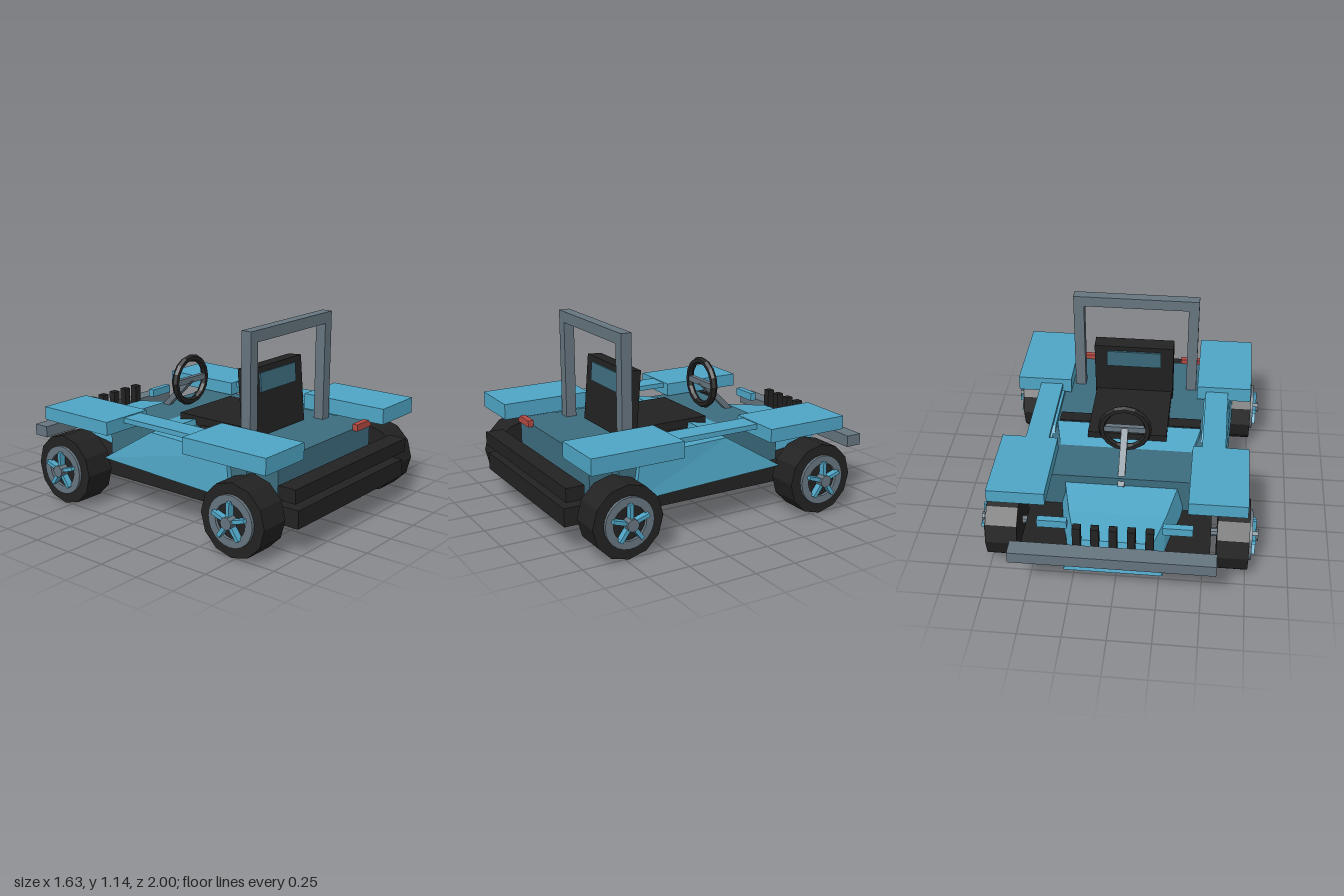
import * as THREE from 'three';

const mat = (name, color) => {
  const m = new THREE.MeshStandardMaterial({ color });
  m.name = name;
  return m;
};

export function createModel() {
  const car = new THREE.Group();
  car.name = 'buggy';
  const blue = mat('light blue', 0x4fa6c6);
  const teal = mat('dark teal', 0x3d6d7f);
  const black = mat('black', 0x222222);
  const grey = mat('steel grey', 0x66757f);
  const red = mat('red', 0xb54a42);

  const add = (name, geo, material, parent = car) => {
    const mesh = new THREE.Mesh(geo, material);
    mesh.name = name;
    parent.add(mesh);
    return mesh;
  };
  const flat = (geo) => {
    const g = geo.index ? geo.toNonIndexed() : geo;
    g.computeVertexNormals();
    return g;
  };
  // Box given by its limits on each axis
  const box = (name, material, [x0, x1], [y0, y1], [z0, z1], parent = car) => {
    const mesh = add(name, new THREE.BoxGeometry(x1 - x0, y1 - y0, z1 - z0), material, parent);
    mesh.position.set((x0 + x1) / 2, (y0 + y1) / 2, (z0 + z1) / 2);
    return mesh;
  };
  // The same box on both sides
  const pair = (name, material, [x0, x1], y, z) => {
    box(name + 'Left', material, [x0, x1], y, z);
    box(name + 'Right', material, [-x1, -x0], y, z);
  };
  // Unit box whose corners are moved by a rule
  const shaped = (depthSegments, rule) => {
    const g = new THREE.BoxGeometry(1, 1, 1, 1, 1, depthSegments);
    const p = g.attributes.position;
    for (let i = 0; i < p.count; i++) p.setXYZ(i, ...rule(p.getX(i), p.getY(i), p.getZ(i)));
    return flat(g);
  };

  // Chassis, tub and bumpers
  box('chassis', black, [-0.54, 0.54], [0.16, 0.265], [-0.82, 1]);
  box('tub', teal, [-0.465, 0.465], [0.262, 0.48], [-0.44, 0.81]);
  box('footwell', black, [-0.44, 0.44], [0.478, 0.486], [0.09, 0.175]);
  box('rearBumper', black, [-0.57, 0.57], [0.31, 0.39], [0.89, 1]);
  box('frontBumper', grey, [-0.58, 0.58], [0.295, 0.365], [-1, -0.9]);

  // Tapered hood: nose, brow and cowl sections {z, y, half widths}
  const sections = [
    { zt: -0.86, zb: -0.915, top: 0.37, bottom: 0.185, wt: 0.22, wb: 0.28 },
    { zt: -0.65, zb: -0.65, top: 0.39, bottom: 0.2, wt: 0.28, wb: 0.33 },
    { zt: 0.04, zb: 0.09, top: 0.515, bottom: 0.27, wt: 0.445, wb: 0.455 },
  ];
  add('hood', shaped(2, (x, y, z) => {
    const s = sections[Math.round((z + 0.5) * 2)];
    return y > 0
      ? [Math.sign(x) * s.wt, s.top, s.zt]
      : [Math.sign(x) * s.wb, s.bottom, s.zb];
  }), blue);

  // Side pods with a raked front end
  for (const side of [1, -1]) {
    add(side > 0 ? 'sidePodLeft' : 'sidePodRight', shaped(1, (x, y, z) => {
      const rear = z > 0, upper = y > 0;
      const outer = (rear ? 0.625 : 0.585) + (upper ? 0 : 0.015);
      return [
        side * (x * side > 0 ? outer : 0.45),
        upper ? 0.508 : rear ? 0.265 : 0.28,
        rear ? (upper ? 0.58 : 0.62) : (upper ? 0 : -0.37),
      ];
    }), blue);
  }
  pair('fenderStay', teal, [0.52, 0.6], [0.27, 0.5], [0.58, 0.7]);
  pair('sideRail', blue, [0.46, 0.6], [0.53, 0.56], [-0.2, 0.375]);

  // Fenders and lamps
  pair('rearFender', blue, [0.405, 0.745], [0.5, 0.595], [0.375, 0.935]);
  pair('frontFender', blue, [0.405, 0.74], [0.485, 0.565], [-0.72, -0.2]);
  pair('tailLight', red, [0.28, 0.43], [0.47, 0.51], [0.805, 0.84]);
  pair('headlight', blue, [0.27, 0.44], [0.4, 0.45], [-0.81, -0.77]);
  for (let i = -2; i <= 2; i++) {
    const x = i * 0.102;
    box('grilleBar', black, [x - 0.023, x + 0.023], [0.32, 0.48], [-0.895, -0.85]);
  }

  // Seat
  box('seatCushion', black, [-0.24, 0.24], [0.46, 0.535], [-0.08, 0.4]);
  const back = new THREE.Group();
  back.name = 'seatBack';
  back.position.set(0, 0.48, 0.44);
  back.rotation.x = -0.085;
  car.add(back);
  box('backrest', black, [-0.247, 0.247], [0, 0.4], [-0.045, 0.045], back);
  box('headrestPanel', teal, [-0.17, 0.17], [0.255, 0.367], [-0.056, 0.056], back);

  // Roll bar
  pair('rollBarPost', grey, [0.328, 0.393], [0.46, 1.08], [0.5, 0.565]);
  box('rollBarTop', grey, [-0.393, 0.393], [1.07, 1.137], [0.5, 0.565]);

  // Steering
  add('steeringWheel', flat(new THREE.TorusGeometry(0.138, 0.022, 6, 16)), black)
    .position.set(0, 0.67, -0.205);
  box('steeringCrossbar', grey, [-0.13, 0.13], [0.652, 0.688], [-0.22, -0.19]);
  const column = add('steeringColumn', new THREE.BoxGeometry(0.04, 0.35, 0.035), grey);
  column.position.set(0, 0.55, -0.325);
  column.rotation.x = Math.PI / 4;

  // Wheels: built facing +x, turned round for the other side
  const tyre = flat(new THREE.CylinderGeometry(0.212, 0.212, 0.185, 12).rotateZ(Math.PI / 2));
  const rimShape = new THREE.Shape().absarc(0, 0, 0.147, 0, Math.PI * 2);
  rimShape.holes.push(new THREE.Path().absarc(0, 0, 0.1, 0, Math.PI * 2, true));
  const rim = flat(new THREE.ExtrudeGeometry(rimShape, { depth: 0.03, bevelEnabled: false, curveSegments: 12 })
    .rotateY(Math.PI / 2));
  const hub = flat(new THREE.CylinderGeometry(0.036, 0.036, 0.07, 10).rotateZ(Math.PI / 2));
  const axleGeo = flat(new THREE.CylinderGeometry(0.025, 0.025, 1.2, 8).rotateZ(Math.PI / 2));
  for (const [end, z] of [['rear', 0.73], ['front', -0.55]]) {
    add(end + 'Axle', axleGeo, grey).position.set(0, 0.212, z);
    for (const side of [1, -1]) {
      const wheel = new THREE.Group();
      wheel.name = end + (side > 0 ? 'WheelLeft' : 'WheelRight');
      wheel.position.set(side * 0.667, 0.21, z);
      wheel.rotation.y = side > 0 ? 0 : Math.PI;
      car.add(wheel);
      add('tyre', tyre, black, wheel);
      add('rim', rim, grey, wheel).position.x = 0.08;
      add('hub', hub, grey, wheel).position.x = 0.113;
      for (let i = 0; i < 5; i++) {
        const spoke = new THREE.Group();
        spoke.name = 'spoke';
        spoke.rotation.x = (i * Math.PI * 2) / 5;
        wheel.add(spoke);
        box('spokeBar', blue, [0.095, 0.133], [0.02, 0.113], [-0.011, 0.011], spoke);
      }
    }
  }
  return car;
}
